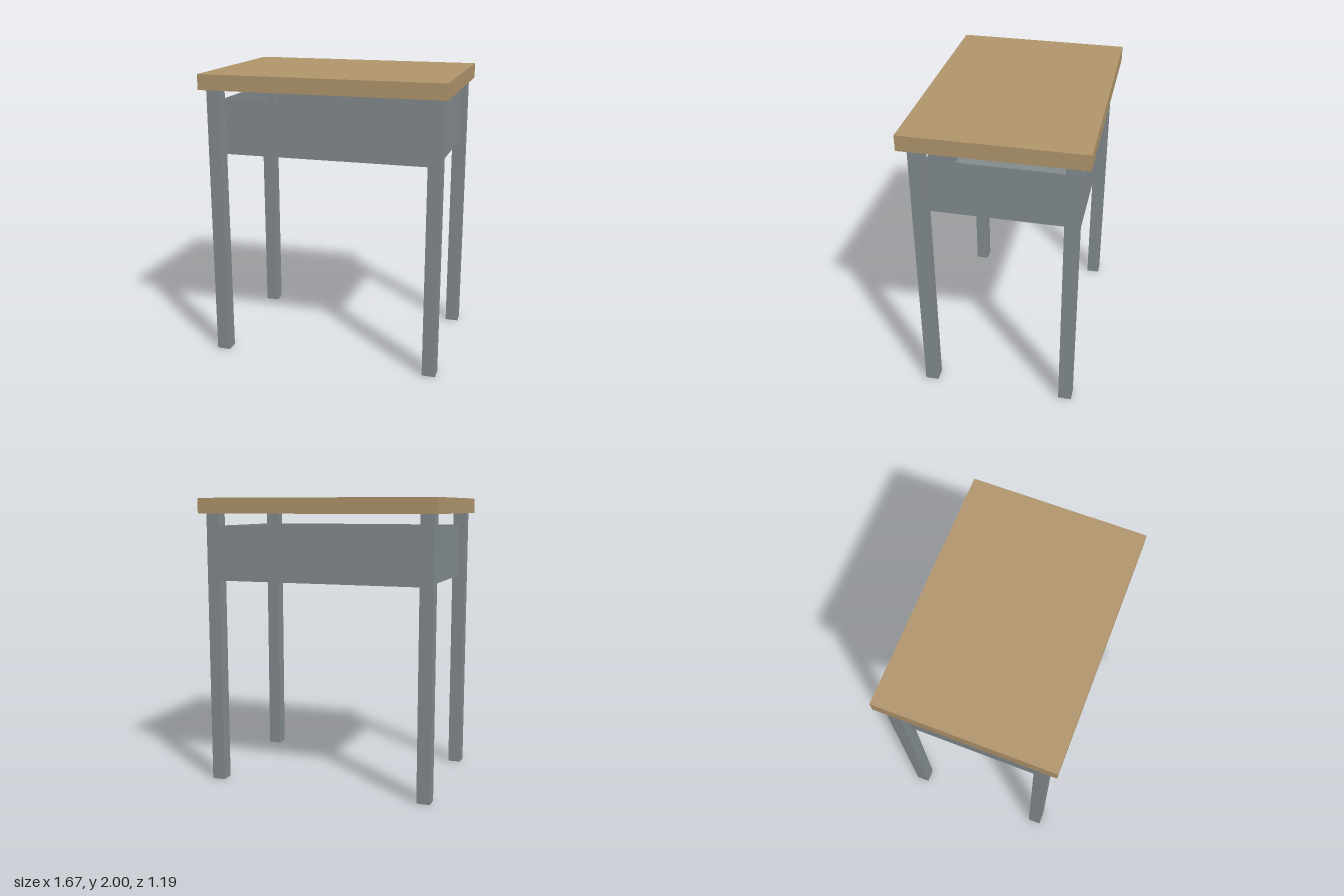
import * as THREE from 'three';

const wood = new THREE.MeshStandardMaterial({ color: 0xb0956c });
wood.name = 'wood';
const steel = new THREE.MeshStandardMaterial({ color: 0x838b8e, side: THREE.DoubleSide });
steel.name = 'greySteel';

// Thin sheet box with some sides left open (0 +x, 1 -x, 2 +y, 3 -y, 4 +z, 5 -z)
function openBox(w, h, d, openSides) {
  const g = new THREE.BoxGeometry(w, h, d);
  const index = Array.from(g.index.array);
  g.setIndex(index.filter((_, i) => !openSides.includes(Math.floor(i / 6))));
  g.clearGroups();
  return g;
}

function add(group, name, geometry, material, x, y, z) {
  const mesh = new THREE.Mesh(geometry, material);
  mesh.name = name;
  mesh.position.set(x, y, z);
  group.add(mesh);
}

export function createModel() {
  const desk = new THREE.Group();
  desk.name = 'schoolDesk';

  // Slab top
  add(desk, 'tableTop', new THREE.BoxGeometry(1.67, 0.105, 1.19), wood, 0, 1.9475, 0);

  // Four hollow square legs
  const legGeometry = openBox(0.092, 1.895, 0.092, [2, 3]);
  for (const [zName, z] of [['front', 0.488], ['back', -0.488]]) {
    for (const [xName, x] of [['Left', 0.757], ['Right', -0.757]]) {
      add(desk, `${zName}${xName}Leg`, legGeometry, steel, x, 0.9475, z);
    }
  }

  // Sheet-metal storage tray, open at the top, set slightly towards the back
  add(desk, 'storageTray', openBox(1.51, 0.375, 0.973, [2]), steel, 0, 1.6225, -0.0515);

  return desk;
}
